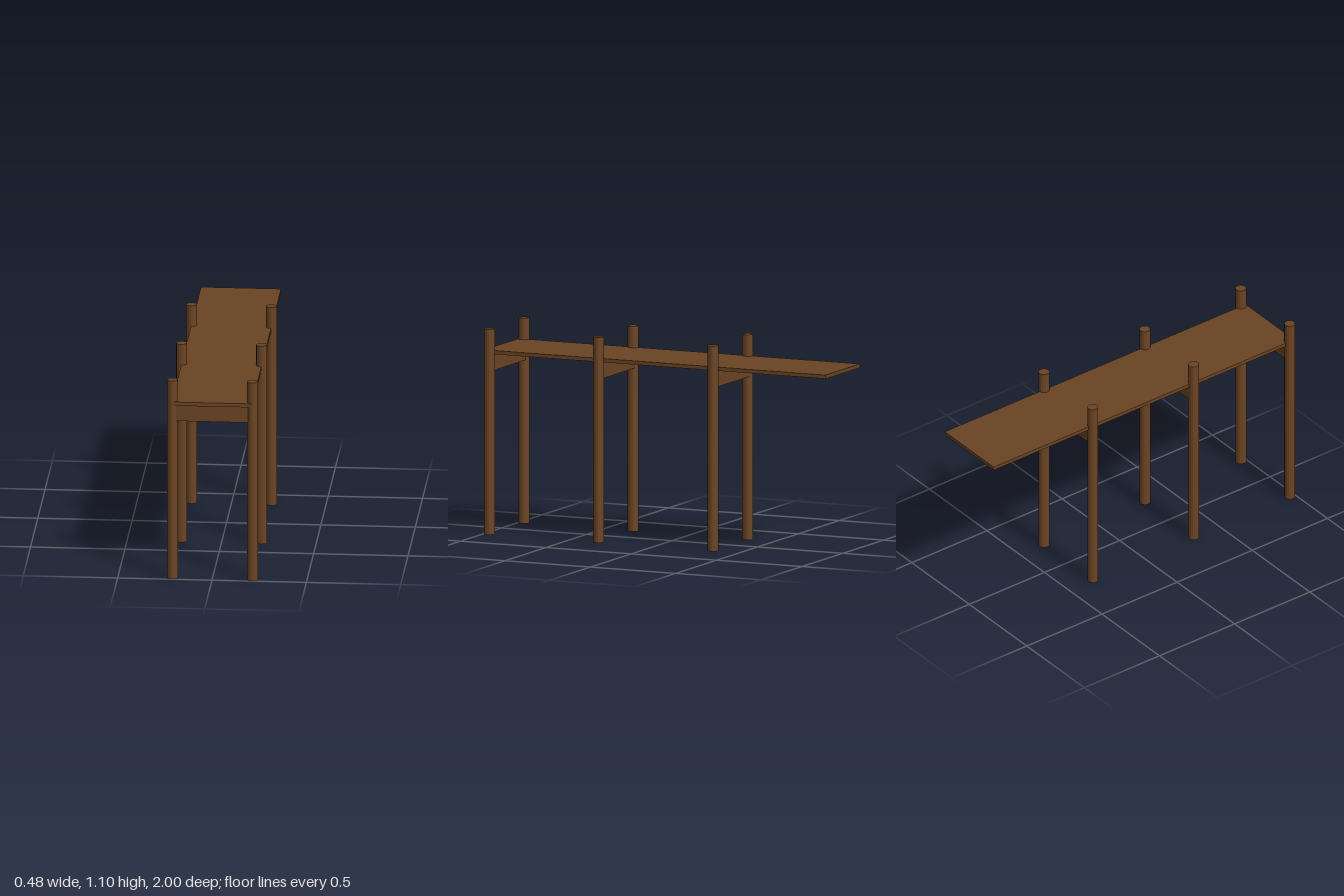
import * as THREE from 'three';

export function createModel() {
  const model = new THREE.Group();
  model.name = 'pier';
  const wood = new THREE.MeshStandardMaterial({ color: 0x6b4423, flatShading: true });
  wood.name = 'brown wood';

  const add = (name, geometry, x, y, z) => {
    const mesh = new THREE.Mesh(geometry, wood);
    mesh.name = name;
    mesh.position.set(x, y, z);
    model.add(mesh);
  };

  // Walkway plank
  add('deck', new THREE.BoxGeometry(0.424, 0.02, 2), 0, 0.973, 0);

  // Each bent: two round posts joined by a crossbeam under the deck
  const postGeometry = new THREE.CylinderGeometry(0.029, 0.029, 1.098, 16);
  const beamGeometry = new THREE.BoxGeometry(0.4, 0.088, 0.04);
  for (const z of [0.969, 0.33, -0.341]) {
    add('leftPost', postGeometry, 0.212, 0.549, z);
    add('rightPost', postGeometry, -0.212, 0.549, z);
    add('crossbeam', beamGeometry, 0, 0.919, z);
  }
  return model;
}
